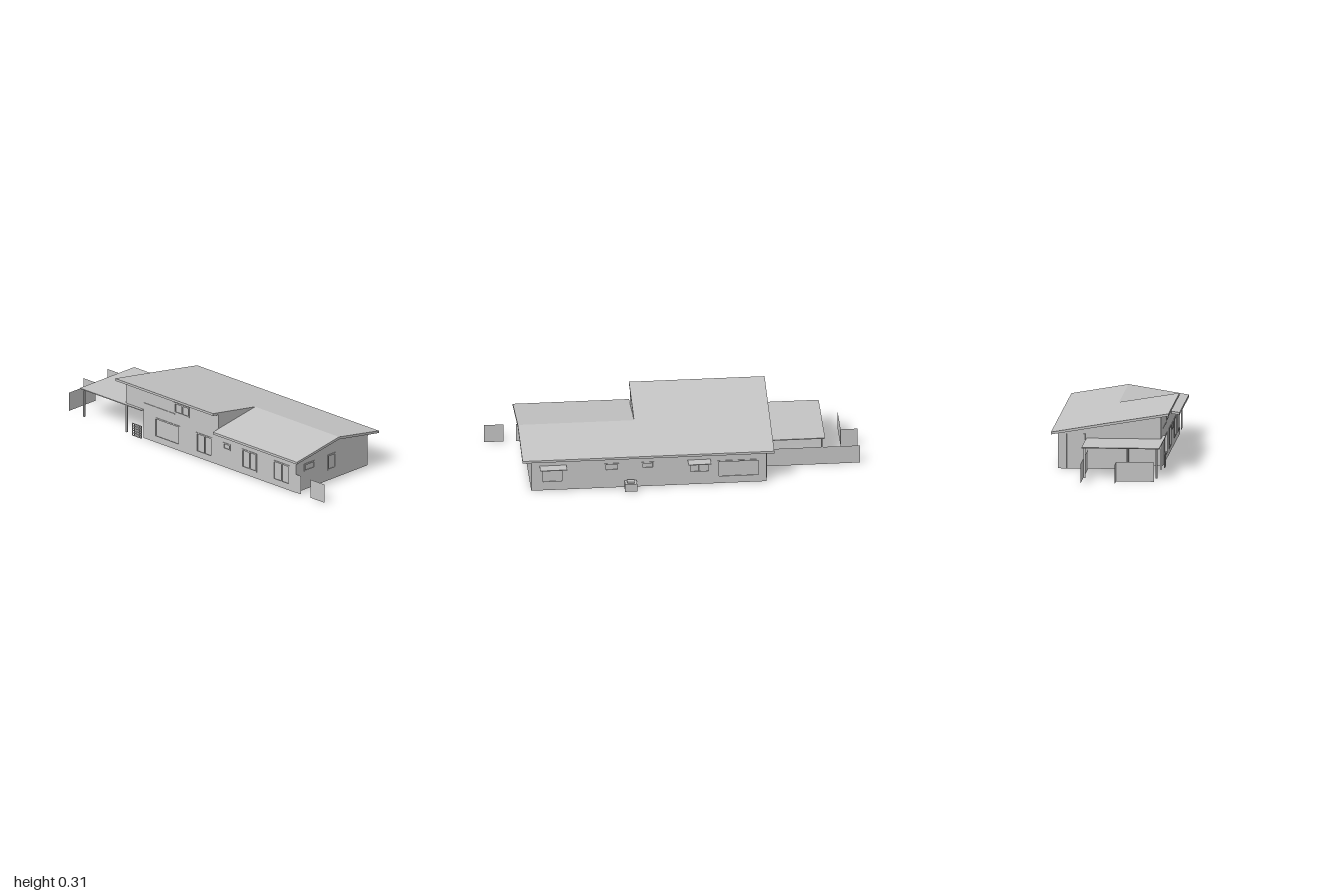
import * as THREE from 'three';

export function createModel() {
  const house = new THREE.Group();
  house.name = 'house';
  const grey = new THREE.MeshStandardMaterial({ color: 0xc4c4c4, side: THREE.DoubleSide });
  grey.name = 'plain grey';

  const add = (name, geometry, x = 0, y = 0, z = 0) => {
    const m = new THREE.Mesh(geometry, grey);
    m.name = name;
    m.position.set(x, y, z);
    house.add(m);
    return m;
  };
  // box given by its limits on each axis
  const box = (name, x0, x1, y0, y1, z0, z1) =>
    add(name, new THREE.BoxGeometry(x1 - x0, y1 - y0, z1 - z0), (x0 + x1) / 2, (y0 + y1) / 2, (z0 + z1) / 2);
  // flat outline with rectangular openings [u0, u1, v0, v1]
  const outline = (pts, holes = []) => {
    const s = new THREE.Shape(pts.map(p => new THREE.Vector2(...p)));
    for (const [a, b, c, d] of holes)
      s.holes.push(new THREE.Path([[a, c], [a, d], [b, d], [b, c]].map(p => new THREE.Vector2(...p))));
    return s;
  };
  const extrude = (shape, depth) => new THREE.ExtrudeGeometry(shape, { depth, bevelEnabled: false });
  // profile drawn in (z, y) and extruded between x0 and x1
  const along = (name, pts, x0, x1, holes) =>
    add(name, extrude(outline(pts, holes), x1 - x0).rotateY(-Math.PI / 2), x1);

  const T = 0.012, front = 0.283, back = -0.272, left = -0.48, right = 0.79;

  // roofs: a long single pitch, and a lower gabled wing
  along('highRoof', [[-0.308, 0.19], [0, 0.242], [0.327, 0.297], [0.327, 0.31], [0, 0.256], [-0.308, 0.203]], -0.52, 0.212);
  along('lowRoof', [[-0.308, 0.19], [0, 0.242], [0.327, 0.19], [0.327, 0.203], [0, 0.256], [-0.308, 0.203]], 0.212, 0.84);
  along('stepWall', [[0, 0.245], [front, 0.195], [front, 0.289]], 0.2, 0.211);

  // front wall
  const frontWindows = [
    [-0.26, -0.08, 0.035, 0.14], [0.05, 0.16, 0.035, 0.14], [0.25, 0.295, 0.108, 0.138],
    [0.39, 0.495, 0.04, 0.14], [0.625, 0.74, 0.035, 0.14], [-0.115, -0.01, 0.215, 0.268],
  ];
  add('frontWall', extrude(outline([[-0.35, 0], [right, 0], [right, 0.197], [0.211, 0.197], [0.211, 0.289],
    [left, 0.289], [left, 0.165], [-0.35, 0.165]], frontWindows), T), 0, 0, front - T);

  // back wall
  const backWindows = [
    [0.62, 0.73, 0.05, 0.138], [0.32, 0.39, 0.108, 0.145], [0.13, 0.19, 0.112, 0.145],
    [-0.17, -0.065, 0.075, 0.138], [-0.44, -0.22, 0.04, 0.135],
  ];
  add('backWall', extrude(outline([[left, 0], [right, 0], [right, 0.196], [left, 0.196]], backWindows), T), 0, 0, back);

  // end walls
  const rightWindows = [[0.143, 0.214, 0.107, 0.144], [-0.021, 0.032, 0.062, 0.144]];
  along('rightWall', [[back, 0], [front, 0], [front, 0.197], [0, 0.242], [back, 0.196]], right - T, right, rightWindows);
  along('leftWall', [[back, 0], [0.1, 0], [0.1, 0.165], [front, 0.165], [front, 0.289], [0, 0.242], [back, 0.196]], left, left + T);

  // recessed entry
  box('entryBackWall', left, -0.35, 0, 0.165, 0.1 - T, 0.1);
  box('entrySideWall', -0.35, -0.35 + T, 0, 0.165, 0.1, front - T);
  box('entryDoor', -0.45, -0.385, 0, 0.135, 0.1, 0.104);
  for (const z of [-0.23, -0.18, -0.13]) box('endBatten', left - 0.006, left, 0, 0.19, z - 0.004, z + 0.004);

  // window panes, frames and the upright between casements
  const glaze = ([u0, u1, v0, v1], place) => {
    const f = 0.004, mid = (u0 + u1) / 2;
    const ring = outline([[u0 - f, v0 - f], [u1 + f, v0 - f], [u1 + f, v1 + f], [u0 - f, v1 + f]],
      [[u0 + f, u1 - f, v0 + f, v1 - f]]);
    place('windowFrame', extrude(ring, 0.003), 0);
    const pane = new THREE.PlaneGeometry(u1 - u0, v1 - v0).translate(mid, (v0 + v1) / 2, 0);
    place('windowPane', pane, -0.007);
    if (u1 - u0 > 0.1 && u1 - u0 < 0.13)
      place('windowMullion', new THREE.BoxGeometry(0.005, v1 - v0, 0.005).translate(mid, (v0 + v1) / 2, 0), -0.003);
  };
  for (const w of frontWindows) glaze(w, (n, g, d) => add(n, g, 0, 0, front + d));
  for (const [a, b, c, d] of backWindows)
    glaze([-b, -a, c, d], (n, g, o) => add(n, g.rotateY(Math.PI), 0, 0, back - o));
  for (const [a, b, c, d] of rightWindows)
    glaze([-b, -a, c, d], (n, g, o) => add(n, g.rotateY(Math.PI / 2), right + o * 0.5));
  box('wallLedge', -0.35, -0.115, 0.203, 0.206, front, front + 0.003);

  // awnings over the back windows
  for (const [a, b] of [[0.6, 0.745], [-0.178, -0.055]]) box('awning', a, b, 0.146, 0.15, -0.326, back);

  // outdoor unit behind the house
  box('outdoorUnit', 0.222, 0.287, 0, 0.044, -0.326, -0.279);
  box('outdoorUnitCap', 0.235, 0.274, 0.044, 0.053, -0.316, -0.288);

  // carport canopy and posts
  box('carportCanopy', -0.81, left, 0.161, 0.166, -0.12, 0.3);
  box('entryCanopy', left, -0.35, 0.161, 0.166, 0.1, 0.3);
  for (const [x, z] of [[-0.795, 0.283], [-0.475, 0.283], [-0.795, -0.105]])
    box('carportPost', x - 0.005, x + 0.005, 0, 0.162, z - 0.005, z + 0.005);

  // lattice screen by the entry
  const cells = [];
  for (let i = 0; i < 5; i++) for (let j = 0; j < 5; j++) {
    const u = -0.417 + i * 0.0135, v = 0.003 + j * 0.0138;
    cells.push([u, u + 0.0105, v, v + 0.0108]);
  }
  add('latticeScreen', extrude(outline([[-0.42, 0], [-0.35, 0], [-0.35, 0.072], [-0.42, 0.072]], cells), 0.005), 0, 0, 0.295);

  // paper-thin garden fences, from one end to the other
  for (const [x0, z0, x1, z1] of [[-1, -0.11, left, -0.11], [-1, 0.075, -0.91, 0.075], [-0.91, 0.075, -0.91, 0.28],
    [right, 0.28, 0.825, 0.28], [0.895, 0.28, 1, 0.28]]) {
    const panel = add('fence', new THREE.PlaneGeometry(Math.hypot(x1 - x0, z1 - z0), 0.105), (x0 + x1) / 2, 0.0525, (z0 + z1) / 2);
    panel.rotation.y = -Math.atan2(z1 - z0, x1 - x0);
  }

  // inner partitions, with gaps for doors
  const P = 0.004, H = 0.185;
  for (const x of [-0.2, 0.2, 0.36, 0.57]) box('frontPartition', x - P, x + P, 0, H, 0.06, front - T);
  for (const x of [-0.22, 0.1, 0.22, 0.33, 0.55]) box('backPartition', x - P, x + P, 0, H, back + T, -0.03);
  for (const [a, b] of [[0.2, 0.3], [0.36, 0.5], [0.57, 0.72]]) box('hallPartition', a, b, 0, H, 0.056, 0.064);
  for (const [a, b] of [[-0.47, -0.28], [-0.22, 0.04], [0.1, 0.16], [0.22, 0.28], [0.33, 0.49], [0.55, 0.72]])
    box('hallPartition', a, b, 0, H, -0.034, -0.026);

  // simple furniture blocks: centre x, centre z, width, depth
  for (const [x, z, w, d] of [[0.69, 0.2, 0.13, 0.09], [0.66, -0.12, 0.12, 0.1], [0.46, 0.2, 0.12, 0.09],
    [0.44, -0.12, 0.12, 0.09], [0.27, -0.1, 0.06, 0.09], [0.08, 0.19, 0.13, 0.08], [0, -0.1, 0.13, 0.07],
    [-0.28, 0.08, 0.09, 0.07], [-0.1, 0.16, 0.12, 0.09], [-0.34, -0.16, 0.13, 0.09], [0.28, 0.2, 0.08, 0.06]])
    box('furniture', x - w / 2, x + w / 2, 0.025, 0.045, z - d / 2, z + d / 2);

  return house;
}
